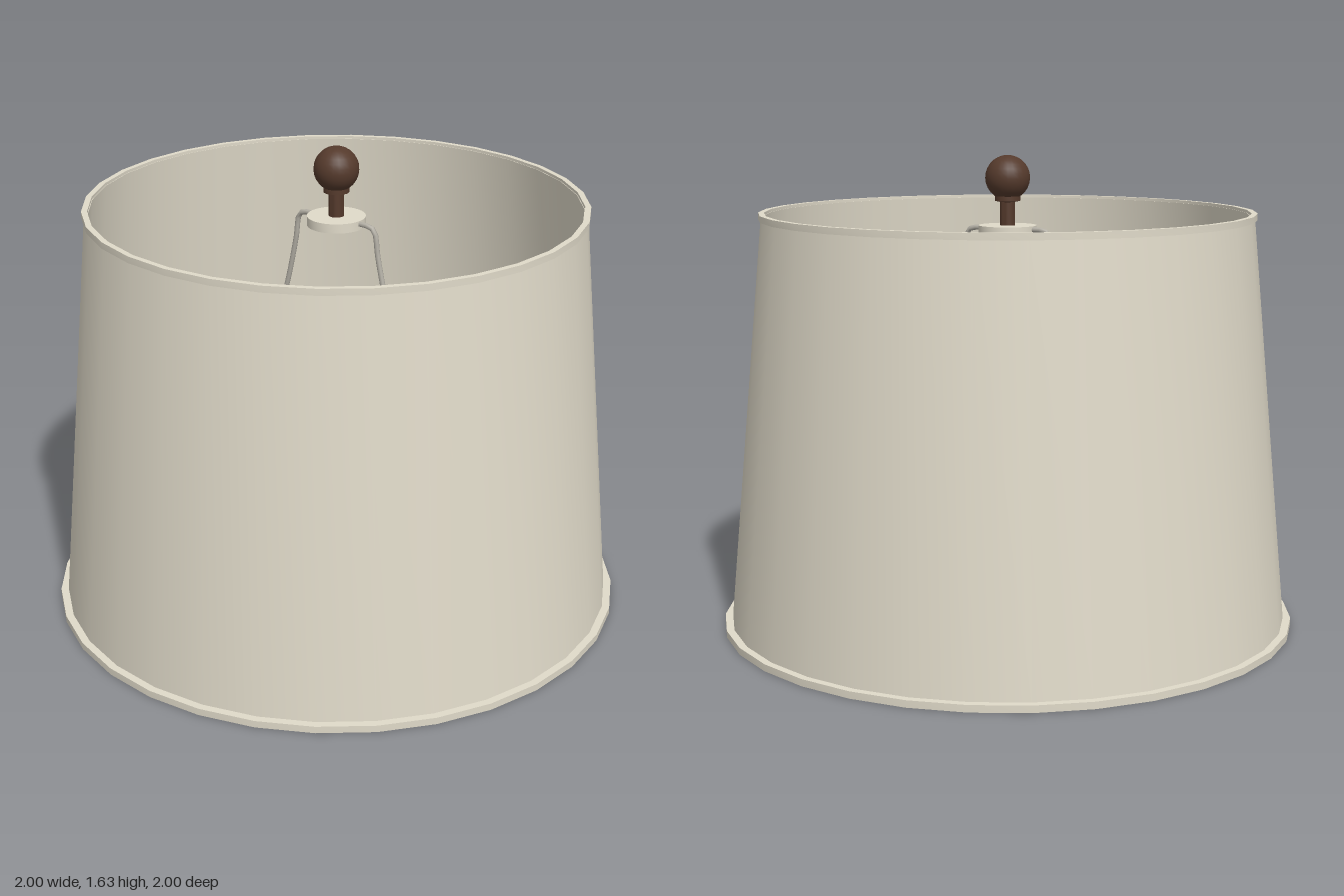
import * as THREE from 'three';
import { toCreasedNormals } from 'three/addons/utils/BufferGeometryUtils.js';

const material = (name, color) => {
  const m = new THREE.MeshStandardMaterial({ color });
  m.name = name;
  return m;
};

// Turned part from [radius, y] points; the outside runs upward
function turned(name, points, mat, sides = 32) {
  const lathe = new THREE.LatheGeometry(points.map(([r, y]) => new THREE.Vector2(r, y)), sides);
  const mesh = new THREE.Mesh(toCreasedNormals(lathe, 0.6), mat);
  mesh.name = name;
  return mesh;
}

export function createModel() {
  const fabric = material('cream fabric', 0xe0dac9);
  const wood = material('dark wood', 0x553a2c);
  const metal = material('grey metal', 0xb4b0a6);
  const black = material('black plastic', 0x0c0c0c);

  const model = new THREE.Group();
  model.name = 'lampshade';

  // Tapered drum wall with a thin inner lining
  model.add(turned('shadeWall', [
    [0.975, 0.01], [0.843, 1.43], [0.83, 1.43], [0.96, 0.01], [0.975, 0.01],
  ], fabric));

  // Trim bands at the two openings
  const trim = (name, inner, outer, y0, y1) => model.add(turned(name, [
    [inner, y0], [outer, y0], [outer, y1], [inner, y1], [inner, y0],
  ], fabric));
  trim('bottomTrim', 0.96, 1.0, 0, 0.024);
  trim('topTrim', 0.832, 0.852, 1.418, 1.44);

  // Wire harp, one arm on each side
  for (const side of [-1, 1]) {
    const arm = new THREE.CatmullRomCurve3([
      [0.09, 0.41], [0.13, 0.43], [0.195, 0.5], [0.266, 0.63], [0.306, 0.8],
      [0.25, 1.0], [0.215, 1.11], [0.175, 1.28], [0.16, 1.365], [0.14, 1.378], [0, 1.375],
    ].map(([x, y]) => new THREE.Vector3(side * x, y, 0)));
    const mesh = new THREE.Mesh(new THREE.TubeGeometry(arm, 48, 0.009, 8), metal);
    mesh.name = side > 0 ? 'leftHarpArm' : 'rightHarpArm';
    model.add(mesh);
  }

  // Disc that carries the finial
  model.add(turned('harpCap', [[0, 1.36], [0.1, 1.36], [0.1, 1.392], [0, 1.392]], fabric));

  // Finial: stem, collar and ball
  const ball = [];
  for (let i = 0; i <= 12; i++) {
    const a = -1.15 + (i / 12) * (Math.PI / 2 + 1.15);
    ball.push([Math.max(0, 0.077 * Math.cos(a)), 1.555 + 0.077 * Math.sin(a)]);
  }
  model.add(turned('finial', [
    [0, 1.39], [0.026, 1.39], [0.026, 1.472], [0.044, 1.476], [0.044, 1.492], [0.032, 1.496],
    ...ball,
  ], wood, 24));

  // Bulb socket with a flared collar and an open top
  model.add(turned('socket', [
    [0, 0.19], [0.06, 0.19], [0.066, 0.245], [0.088, 0.255], [0.095, 0.32],
    [0.135, 0.36], [0.145, 0.385], [0.145, 0.425], [0.108, 0.445], [0.105, 0.7],
    [0.09, 0.7], [0.09, 0.5], [0, 0.5],
  ], black));

  // Switch key on the socket's left side
  const key = turned('switchKey', [
    [0, 0], [0.016, 0], [0.016, 0.12], [0.036, 0.125], [0.036, 0.145],
    [0.024, 0.15], [0.024, 0.16], [0, 0.16],
  ], black, 16);
  key.rotation.z = -Math.PI / 2;
  key.position.set(0.06, 0.3, -0.006);
  model.add(key);

  return model;
}
